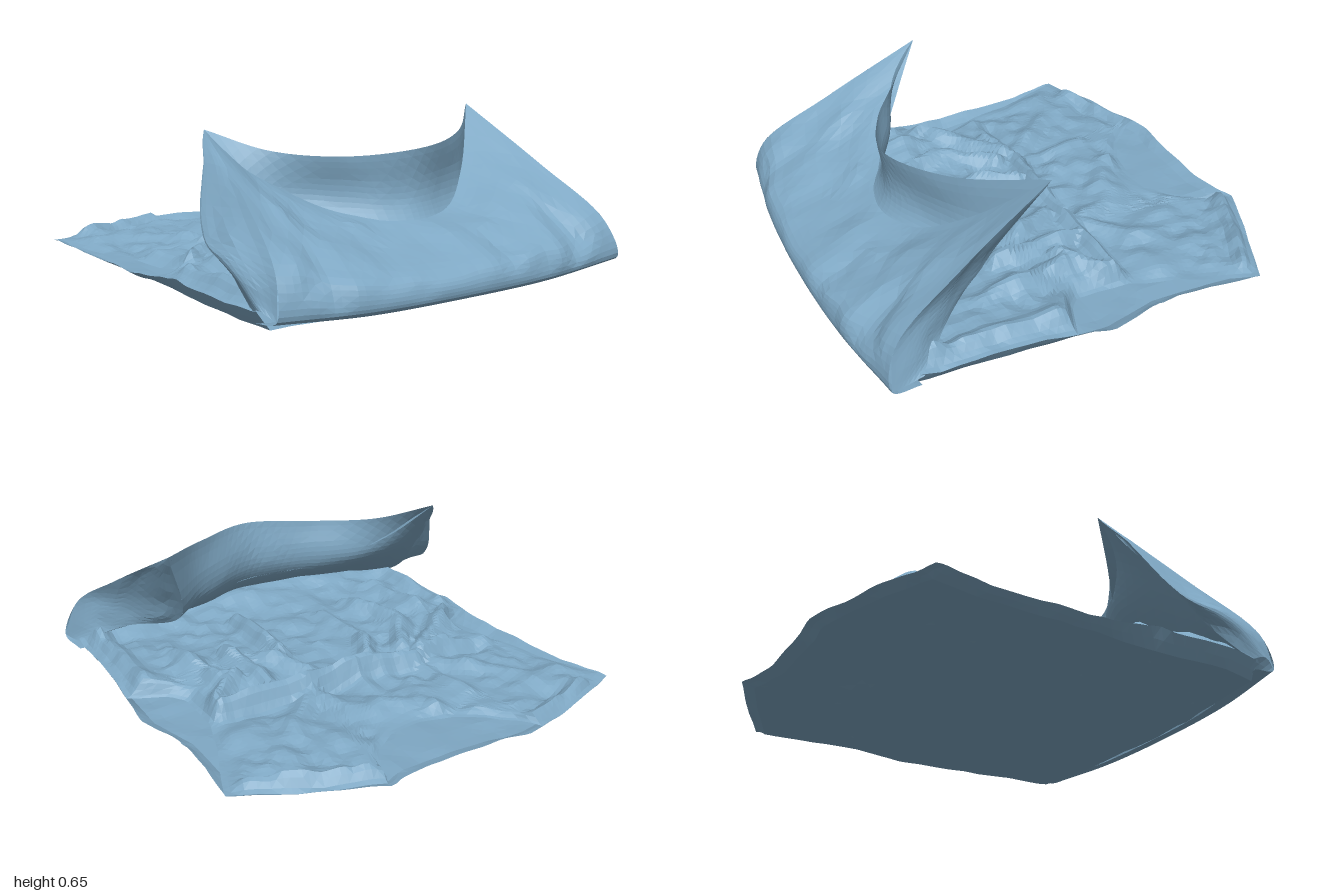
import * as THREE from 'three';

const V = (p) => new THREE.Vector3(...p);
const { lerp, smoothstep, clamp } = THREE.MathUtils;

// piecewise linear lookup in [key, value] pairs
function look(t, k) {
  if (k <= t[0][0]) return t[0][1];
  for (let i = 1; i < t.length; i++) {
    if (k <= t[i][0]) return lerp(t[i - 1][1], t[i][1], (k - t[i - 1][0]) / (t[i][0] - t[i - 1][0]));
  }
  return t[t.length - 1][1];
}

// small crumples in the cloth
const hash = (i, j) => {
  const s = Math.sin(i * 127.1 + j * 311.7) * 43758.5453;
  return s - Math.floor(s);
};
function noise(x, z) {
  const i = Math.floor(x), j = Math.floor(z), a = x - i, b = z - j;
  return lerp(lerp(hash(i, j), hash(i + 1, j), a), lerp(hash(i, j + 1), hash(i + 1, j + 1), a), b) - 0.5;
}

const cloth = new THREE.MeshStandardMaterial({ color: 0x7fa8c4, flatShading: true, side: THREE.DoubleSide });

// cloth sheet from a rule (u across, v along) -> Vector3
function sheet(name, nu, nv, rule) {
  const pos = [], idx = [];
  for (let j = 0; j <= nv; j++) {
    for (let i = 0; i <= nu; i++) {
      const p = rule(i / nu, j / nv);
      pos.push(p.x, Math.max(0, p.y), p.z);
      if (i < nu && j < nv) {
        const a = j * (nu + 1) + i, b = a + nu + 1;
        if ((i + j) % 2) idx.push(a, b, a + 1, b, b + 1, a + 1);
        else idx.push(a, b, b + 1, a, b + 1, a + 1);
      }
    }
  }
  const g = new THREE.BufferGeometry();
  g.setAttribute('position', new THREE.Float32BufferAttribute(pos, 3));
  g.setIndex(idx);
  g.computeVertexNormals();
  const m = new THREE.Mesh(g, cloth);
  m.name = name;
  return m;
}

// smooth sheet through a few rows of points, crumpled away from its edges
function loft(name, nu, nv, rows, crumple) {
  const curves = rows.map((r) => new THREE.CatmullRomCurve3(r.map(V)));
  return sheet(name, nu, nv, (u, v) => {
    const p = new THREE.CatmullRomCurve3(curves.map((c) => c.getPoint(u))).getPoint(v);
    const k = crumple * Math.min(1, 8 * Math.min(u, 1 - u)) * Math.min(1, 5 * Math.min(v, 1 - v)) * smoothstep(p.y, 0.05, 0.2);
    p.y += k * noise(p.x * 9, p.z * 9 + p.y * 5);
    p.z += k * noise(p.x * 11 + 7, p.y * 11);
    return p;
  });
}

// outlines: side edges by z, shoulder and neck edges by x
const backLeft = [[-0.75, -0.96], [-0.5, -0.92], [-0.2, -0.9], [0, -0.89], [0.2, -0.86], [0.7, -0.84], [0.85, -0.8]];
const backRight = [[-0.75, 0.93], [-0.5, 0.9], [-0.2, 0.89], [0.05, 0.95], [0.25, 0.94], [0.5, 0.92], [0.85, 0.9]];
const backTop = [[-0.96, -0.75], [-0.7, -0.86], [-0.42, -0.95], [-0.33, -0.97], [-0.2, -0.95], [0.15, -0.945],
  [0.3, -0.97], [0.36, -1], [0.6, -0.9], [0.93, -0.74]];
const chestLeft = [[-0.75, -0.95], [-0.4, -0.86], [-0.15, -0.8], [0.08, -0.72], [0.14, -0.74], [0.22, -0.86], [0.7, -0.84], [0.85, -0.8]];
const chestRight = [[-0.75, 0.93], [-0.4, 0.8], [-0.16, 0.73], [0.08, 0.72], [0.14, 0.78], [0.22, 0.94], [0.5, 0.92], [0.85, 0.9]];
const chestTop = [[-0.95, -0.75], [-0.7, -0.86], [-0.41, -0.95], [-0.37, -0.87], [-0.28, -0.77], [-0.15, -0.69], [0, -0.66],
  [0.15, -0.68], [0.27, -0.76], [0.33, -0.86], [0.36, -0.98], [0.6, -0.9], [0.93, -0.73]];

// long folds on the chest: x0, z0, x1, z1, height, width
const folds = [
  [-0.5, -0.14, -0.3, -0.22, 0.05, 0.04], [-0.3, -0.22, 0.0, -0.17, 0.055, 0.04], [0.0, -0.18, 0.68, -0.18, 0.055, 0.04],
  [-0.6, -0.5, -0.35, -0.22, 0.03, 0.05], [-0.33, -0.58, -0.3, -0.25, 0.025, 0.04], [0.52, -0.5, 0.25, -0.22, 0.03, 0.05],
  [-0.1, -0.6, 0.2, -0.42, 0.025, 0.08], [0.2, -0.42, 0.25, -0.2, 0.03, 0.05], [-0.05, -0.62, -0.2, -0.35, 0.025, 0.05],
  [-0.7, 0.1, -0.35, -0.18, 0.05, 0.05], [-0.45, 0.12, -0.3, -0.1, 0.05, 0.05], [-0.45, 0.12, -0.35, 0.45, 0.05, 0.05],
  [-0.2, 0.05, -0.1, -0.12, 0.05, 0.04], [0.2, -0.1, 0.3, 0.1, 0.05, 0.05], [0.22, 0.1, 0.2, 0.55, 0.06, 0.04],
  [0.4, -0.15, 0.42, 0.25, 0.05, 0.04], [0.68, -0.15, 0.5, 0.0, 0.05, 0.04], [0.56, 0.0, 0.62, 0.4, 0.045, 0.05],
  [-0.62, 0.2, -0.6, 0.55, 0.05, 0.06], [-0.2, 0.1, -0.18, 0.4, 0.02, 0.03], [-0.8, -0.77, -0.4, -0.89, 0.04, 0.04],
  [0.38, -0.93, 0.85, -0.72, 0.045, 0.04], [-0.78, 0.25, -0.76, 0.7, 0.04, 0.05], [0.84, 0.2, 0.83, 0.7, 0.04, 0.05]];

function chestHeight(x, z) {
  let most = 0;
  for (const [ax, az, bx, bz, up, w] of folds) {
    const dx = bx - ax, dz = bz - az;
    const t = clamp(((x - ax) * dx + (z - az) * dz) / (dx * dx + dz * dz), 0, 1);
    const d = Math.hypot(x - ax - t * dx, z - az - t * dz) / w;
    most = Math.max(most, up * Math.exp(-d * d));
  }
  const base = 0.062 + 0.04 * smoothstep(z, -0.25, -0.17) + 0.04 * smoothstep(z, 0.6, 0.85);
  return base + most + 0.035 * noise(x * 8, z * 8) + 0.03 * noise(x * 17 + 5, z * 17);
}

// height of the edge shared by both panels; the closed side seams are bulkier
const seamHeight = (x, z) => 0.05 + 0.035 * smoothstep(z, 0, 0.3) + 0.02 * noise(x * 9, z * 14);

// a flat panel spanning its outline; the shape of its top edge fades out along it
function panel(name, n, left, right, top, height) {
  return sheet(name, n, n, (u, v) => {
    const zn = lerp(-0.75, 0.85, v);
    const x = lerp(look(left, zn), look(right, zn), u);
    const start = look(top, lerp(left[0][1], right[0][1], u));
    const z = lerp(-0.84, 0.88 - 0.11 * x * x, v) + (start + 0.84) * (1 - smoothstep(v, 0, 0.45));
    return new THREE.Vector3(x, height(x, z, Math.min(u, 1 - u), v), z);
  });
}

export function createModel() {
  const group = new THREE.Group();
  group.name = 'crumpledSleevelessShirt';

  // back panel lying on the ground, its rim turned up to the seams
  group.add(panel('backPanel', 64, backLeft, backRight, backTop, (x, z, edge, v) => {
    const flat = 0.014 + 0.015 * smoothstep(-z, 0.3, 1) + 0.012 * noise(x * 12, z * 12);
    return lerp(seamHeight(x, z), flat, smoothstep(edge, 0, 0.03) * smoothstep(v, 0, 0.03));
  }));

  // wrinkled chest panel above it, with neck and arm openings
  group.add(panel('chestPanel', 84, chestLeft, chestRight, chestTop, (x, z, edge, v) =>
    lerp(seamHeight(x, z), chestHeight(x, z), smoothstep(edge, 0, 0.05) * smoothstep(v, 0, 0.04))));

  // lower part turned up at the front, ending in a sagging hem
  group.add(loft('turnedUpFlap', 48, 24, [
    [[-0.8, 0.04, 0.8], [-0.4, 0.01, 0.86], [0.05, 0.01, 0.88], [0.5, 0.01, 0.85], [0.9, 0.04, 0.79]],
    [[-0.78, 0.07, 0.92], [-0.4, 0.06, 0.975], [0.05, 0.06, 0.995], [0.5, 0.06, 0.975], [0.92, 0.07, 0.92]],
    [[-0.76, 0.23, 0.88], [-0.4, 0.16, 0.95], [0.05, 0.15, 0.97], [0.5, 0.16, 0.95], [0.87, 0.23, 0.88]],
    [[-0.7, 0.43, 0.57], [-0.38, 0.28, 0.69], [0.05, 0.23, 0.8], [0.47, 0.27, 0.7], [0.79, 0.43, 0.57]],
    [[-0.65, 0.65, 0.15], [-0.5, 0.48, 0.3], [-0.25, 0.33, 0.49], [0.05, 0.285, 0.61], [0.27, 0.295, 0.56],
      [0.48, 0.42, 0.4], [0.71, 0.66, 0.15]],
  ], 0.06));

  // inner layer of the turned-up part, with a higher hem
  group.add(loft('innerFlap', 48, 24, [
    [[-0.8, 0.08, 0.78], [-0.4, 0.15, 0.8], [0.05, 0.15, 0.85], [0.5, 0.15, 0.8], [0.9, 0.08, 0.78]],
    [[-0.78, 0.2, 0.58], [-0.38, 0.22, 0.6], [0.05, 0.22, 0.68], [0.42, 0.2, 0.6], [0.74, 0.19, 0.6]],
    [[-0.73, 0.4, 0.38], [-0.42, 0.38, 0.38], [0.05, 0.34, 0.59], [0.42, 0.33, 0.44], [0.58, 0.28, 0.36]],
    [[-0.65, 0.65, 0.15], [-0.45, 0.57, 0.33], [-0.2, 0.55, 0.51], [0.1, 0.57, 0.6], [0.42, 0.59, 0.44], [0.71, 0.66, 0.15]],
  ], 0.01));

  // side folds joining both layers: one bulges outward, the other tucks inward
  group.add(loft('rightSideFold', 22, 14, [
    [[-0.78, 0.07, 0.92], [-0.76, 0.23, 0.88], [-0.7, 0.43, 0.57], [-0.65, 0.65, 0.15]],
    [[-0.81, 0.1, 0.85], [-0.83, 0.23, 0.6], [-0.81, 0.29, 0.42], [-0.73, 0.48, 0.27], [-0.65, 0.65, 0.15]],
    [[-0.8, 0.08, 0.78], [-0.78, 0.2, 0.58], [-0.73, 0.4, 0.38], [-0.65, 0.65, 0.15]],
  ], 0.05));
  group.add(loft('leftSideFold', 22, 14, [
    [[0.92, 0.07, 0.92], [0.87, 0.23, 0.88], [0.79, 0.43, 0.57], [0.71, 0.66, 0.15]],
    [[0.91, 0.07, 0.86], [0.82, 0.23, 0.72], [0.7, 0.36, 0.47], [0.71, 0.66, 0.15]],
    [[0.9, 0.08, 0.78], [0.74, 0.19, 0.6], [0.58, 0.28, 0.36], [0.71, 0.66, 0.15]],
  ], 0.04));

  return group;
}
